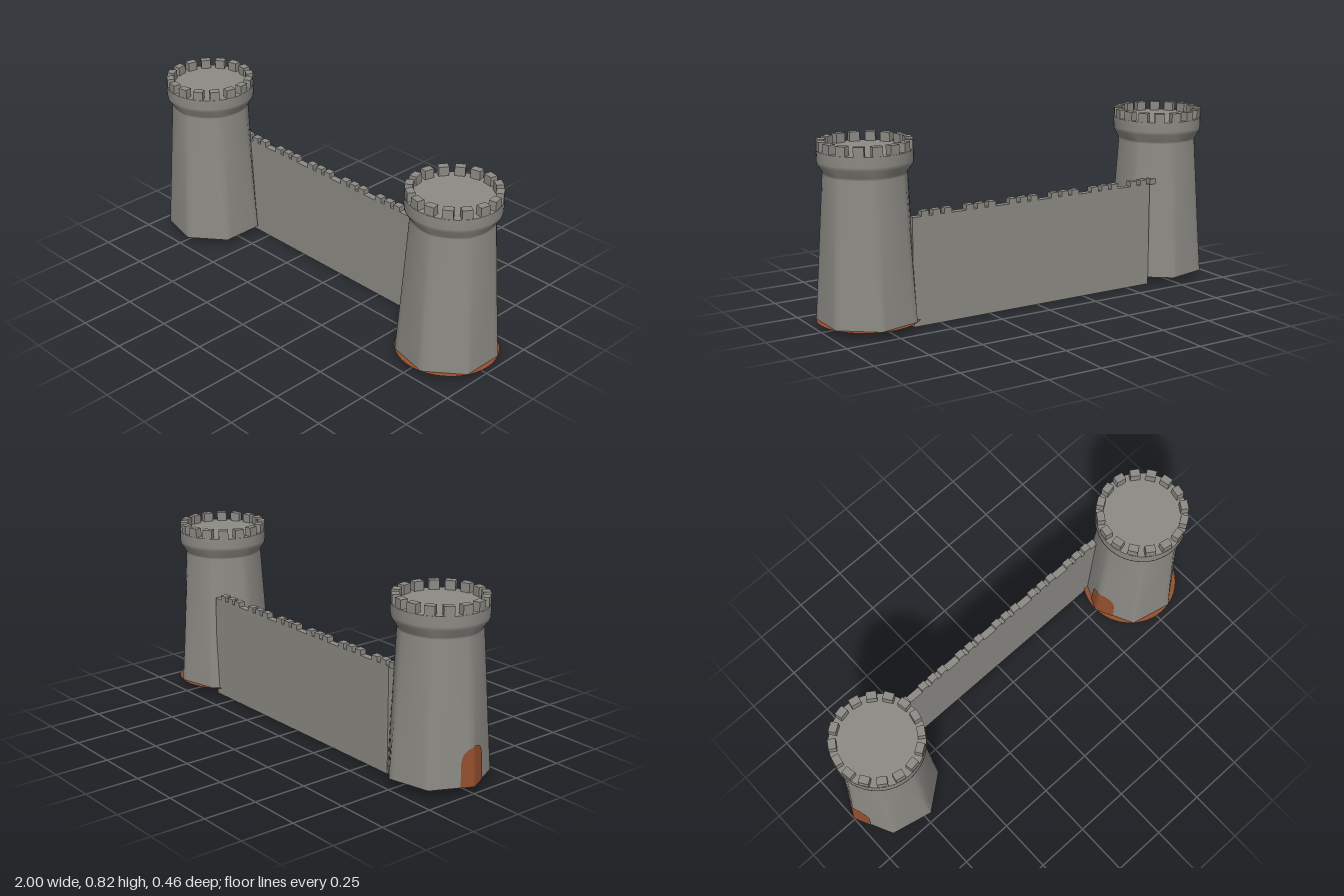
import * as THREE from 'three';
import { mergeVertices } from 'three/addons/utils/BufferGeometryUtils.js';

const stone = new THREE.MeshStandardMaterial({ color: 0x8c8a84, side: THREE.DoubleSide });
stone.name = 'grey stone';
const wood = new THREE.MeshStandardMaterial({ color: 0x944f2e, side: THREE.DoubleSide });
wood.name = 'brown wood';

const BASE_Y = 0.032, RIM_Y = 0.775;
const SIDES = 7, STEP = Math.PI * 2 / SIDES;

// radius of a seven-sided section that turns round as blend goes to 0 (a corner faces -x)
function sectionScale(angle, blend) {
  let a = (angle - Math.PI) % STEP;
  if (a < 0) a += STEP;
  const poly = Math.cos(STEP / 2) / Math.cos(a - STEP / 2);
  return 1 + (poly - 1) * blend;
}
const blendAt = y => THREE.MathUtils.clamp(1 - 0.75 * (y - BASE_Y) / (0.68 - BASE_Y), 0, 1) * (y > 0.7 ? 0 : 1);

function add(group, name, geometry, material) {
  const mesh = new THREE.Mesh(geometry, material);
  mesh.name = name;
  group.add(mesh);
  return mesh;
}

// tapering shaft with a flared collar
function shaftGeometry() {
  const profile = [[0.228, BASE_Y], [0.212, 0.25], [0.197, 0.47], [0.183, 0.67],
    [0.184, 0.68], [0.204, 0.715], [0.206, 0.73], [0.206, RIM_Y]];
  const g = new THREE.LatheGeometry(profile.map(p => new THREE.Vector2(...p)), 56, -Math.PI / 2);
  const p = g.attributes.position;
  for (let i = 0; i < p.count; i++) {
    const x = p.getX(i), y = p.getY(i), z = p.getZ(i);
    const s = sectionScale(Math.atan2(z, x), blendAt(y));
    p.setXYZ(i, x * s, y, z * s);
  }
  g.deleteAttribute('uv');
  g.deleteAttribute('normal');
  const merged = mergeVertices(g, 1e-5);
  merged.computeVertexNormals();
  return merged;
}

// arched door skin bent onto the shaft
function doorGeometry(offset) {
  const cols = 16, rows = 6, pos = [], index = [];
  for (let i = 0; i <= cols; i++) {
    const t = i / cols * 2 - 1;
    const angle = THREE.MathUtils.degToRad(176 + 19 * t);
    const top = 0.135 + 0.07 * Math.sqrt(1 - t * t);
    for (let j = 0; j <= rows; j++) {
      const y = BASE_Y + (top - BASE_Y) * j / rows;
      const r = (0.2303 - 0.0718 * y) * sectionScale(angle, blendAt(y)) + offset;
      pos.push(r * Math.cos(angle), y, r * Math.sin(angle));
      if (i < cols && j < rows) {
        const a = i * (rows + 1) + j, b = a + rows + 1;
        index.push(a, a + 1, b, b, a + 1, b + 1);
      }
    }
  }
  const g = new THREE.BufferGeometry();
  g.setAttribute('position', new THREE.Float32BufferAttribute(pos, 3));
  g.setIndex(index);
  g.computeVertexNormals();
  return g;
}

function makeTower(name, x) {
  const tower = new THREE.Group();
  tower.name = name;
  tower.position.x = x;
  add(tower, 'shaft', shaftGeometry(), stone);
  const roof = add(tower, 'roofFloor', new THREE.CircleGeometry(0.206, 56), stone);
  roof.rotation.x = -Math.PI / 2;
  roof.position.y = RIM_Y;
  add(tower, 'doorOutside', doorGeometry(0.003), wood);
  add(tower, 'doorInside', doorGeometry(-0.004), wood);
  // ring of battlements
  const merlon = new THREE.BoxGeometry(0.034, 0.042, 0.045);
  for (let i = 0; i < 16; i++) {
    const a = (i + 0.5) / 16 * Math.PI * 2;
    const m = add(tower, 'towerMerlon', merlon, stone);
    m.position.set(0.187 * Math.cos(a), RIM_Y + 0.02, 0.187 * Math.sin(a));
    m.rotation.y = -a;
  }
  return tower;
}

export function createModel() {
  const model = new THREE.Group();
  model.name = 'castleWall';
  model.add(makeTower('rightTower', -0.772));
  const left = makeTower('leftTower', 0.772);
  // round wooden floor closing the left tower
  const floor = add(left, 'towerFloor', new THREE.CircleGeometry(0.228, 48), wood);
  floor.rotation.x = Math.PI / 2;
  floor.position.y = BASE_Y - 0.001;
  model.add(left);

  // curtain wall with battlements in groups of three
  const wall = new THREE.Group();
  wall.name = 'curtainWall';
  wall.position.z = -0.131;
  add(wall, 'wallSlab', new THREE.BoxGeometry(1.255, 0.485, 0.032), stone).position.set(0.003, 0.2425, 0);
  const merlon = new THREE.BoxGeometry(0.037, 0.026, 0.032);
  for (let g = 0; g < 6; g++) {
    for (let k = -1; k <= 1; k++) {
      add(wall, 'wallMerlon', merlon, stone).position.set(-0.588 + g * 0.22 + k * 0.056, 0.495, 0);
    }
  }
  model.add(wall);
  return model;
}
